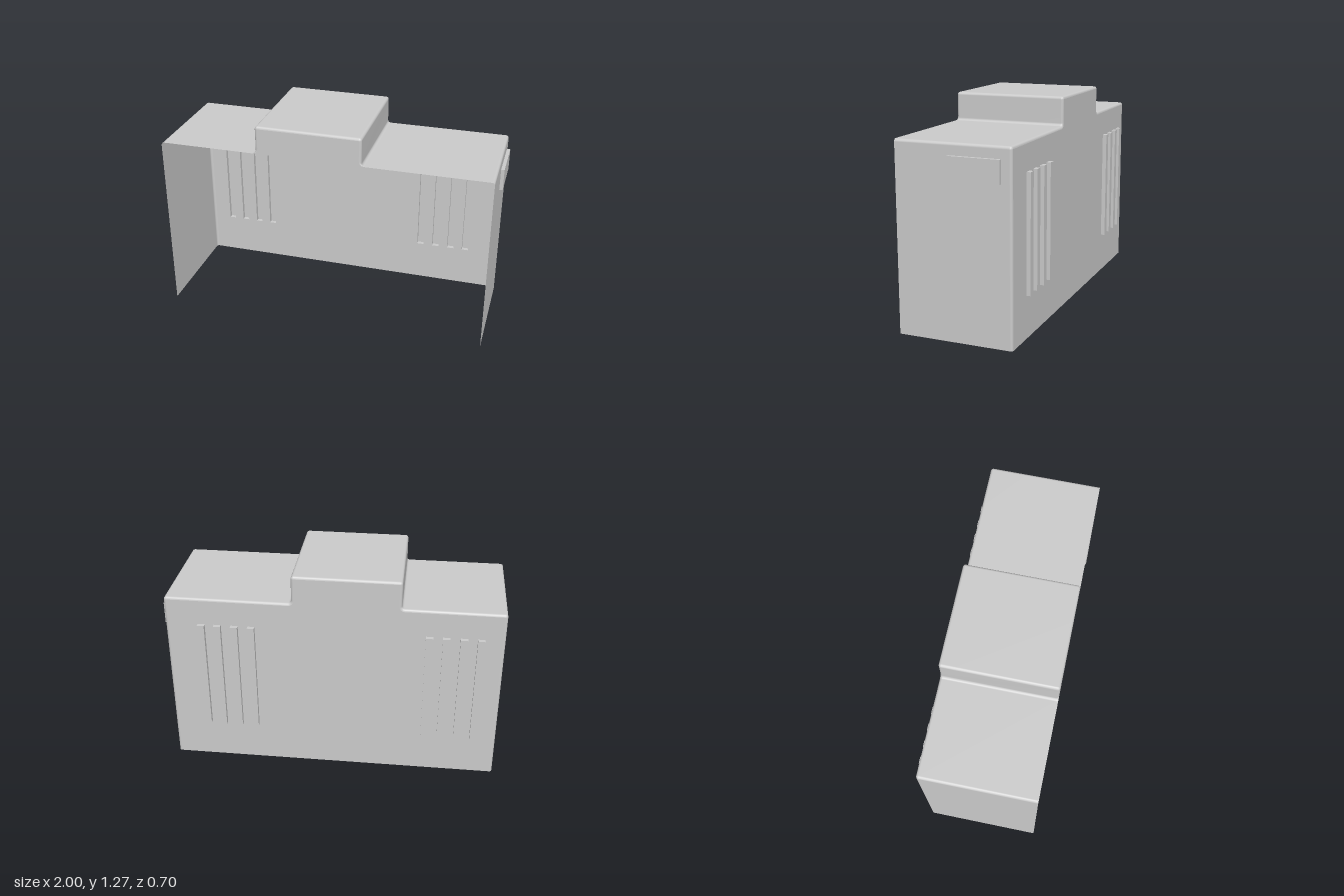
import * as THREE from 'three';

const material = new THREE.MeshStandardMaterial({ color: 0xcccccc, side: THREE.DoubleSide });
const FRONT = 0.35, BACK = -0.33, EDGE = 0.015, ROUND = 0.017, STEPS = 4;

// Corners of the hood outline: x, y, inset direction, turn (1 convex, -1 concave), on raised box
const CORNERS = [
  { x: -1, y: 0, dx: 1, dy: 0, turn: 0 },
  { x: -1, y: 1.1, dx: 1, dy: -1, turn: 1 },
  { x: -0.405, y: 1.1, dx: 1, dy: -1, turn: -1, box: true },
  { x: -0.405, y: 1.27, dx: 1, dy: -1, turn: 1, box: true },
  { x: 0.23, y: 1.27, dx: -1, dy: -1, turn: 1, box: true },
  { x: 0.23, y: 1.1, dx: -1, dy: -1, turn: -1, box: true },
  { x: 0.98, y: 1.1, dx: -1, dy: -1, turn: 1 },
  { x: 0.98, y: 0, dx: -1, dy: 0, turn: 0 },
];

// Rounded outline, inset all round by d, or only on the raised box
function outline(d, boxOnly = false) {
  const pts = CORNERS.map((c) => {
    const k = boxOnly && !c.box ? 0 : d;
    const ky = boxOnly && c.turn < 0 ? 0 : k;
    return new THREE.Vector2(c.x + c.dx * k, c.y + c.dy * ky);
  });
  const result = [];
  pts.forEach((p, i) => {
    const c = CORNERS[i];
    if (!c.turn) return result.push(p);
    const r = ROUND - c.turn * (boxOnly && !c.box ? 0 : d);
    const a = pts[i - 1].clone().sub(p).normalize().multiplyScalar(r).add(p);
    const b = pts[i + 1].clone().sub(p).normalize().multiplyScalar(r).add(p);
    const centre = a.clone().add(b).sub(p);
    for (let s = 0; s <= STEPS; s++) {
      const t = (s / STEPS) * Math.PI / 2;
      result.push(new THREE.Vector2(
        centre.x + (a.x - centre.x) * Math.cos(t) + (b.x - centre.x) * Math.sin(t),
        centre.y + (a.y - centre.y) * Math.cos(t) + (b.y - centre.y) * Math.sin(t)));
    }
  });
  return result;
}

// Skin between outlines placed along z
function loft(rings) {
  const n = rings[0].pts.length, pos = [], index = [];
  rings.forEach(({ pts, z }) => pts.forEach((p, j) => pos.push(p.x, p.y, Array.isArray(z) ? z[j] : z)));
  for (let i = 0; i < rings.length - 1; i++) {
    for (let j = 0; j < n - 1; j++) {
      const a = i * n + j, b = a + 1, c = a + n, d = c + 1;
      index.push(a, b, c, b, d, c);
    }
  }
  const g = new THREE.BufferGeometry();
  g.setAttribute('position', new THREE.Float32BufferAttribute(pos, 3));
  g.setIndex(index);
  g.computeVertexNormals();
  return g;
}

// Box with one face left out (0 +x, 1 -x, 2 +y, 3 -y, 4 +z, 5 -z)
function openBox(w, h, d, face) {
  const g = new THREE.BoxGeometry(w, h, d);
  const idx = Array.from(g.index.array);
  idx.splice(face * 6, 6);
  g.setIndex(idx);
  g.clearGroups();
  return g;
}

export function createModel() {
  const group = new THREE.Group();
  const add = (name, geometry, x = 0, y = 0, z = 0) => {
    const mesh = new THREE.Mesh(geometry, material);
    mesh.name = name;
    mesh.position.set(x, y, z);
    group.add(mesh);
  };

  // Side walls, roof and raised box, with rounded back edges and box front edges
  const rings = [];
  for (let s = 0; s <= STEPS; s++) {
    const t = (s / STEPS) * Math.PI / 2;
    rings.push({ pts: outline(EDGE * (1 - Math.sin(t)), true), z: FRONT - EDGE * (1 - Math.cos(t)) });
  }
  // The plain roof and walls run straight to the front
  for (let s = 0; s <= STEPS; s++) {
    const t = (s / STEPS) * Math.PI / 2;
    rings.push({ pts: outline(EDGE * (1 - Math.cos(t))), z: BACK + EDGE * (1 - Math.sin(t)) });
  }
  add('shell', loft(rings));

  // Front of the raised box; the hood is open below it
  const first = 1 + (STEPS + 1);
  add('raisedBoxFront', new THREE.ShapeGeometry(
    new THREE.Shape(rings[0].pts.slice(first, first + 4 * (STEPS + 1)))), 0, 0, FRONT);

  // Back wall with slots behind the louvres
  const slotX = [-0.865, -0.767, -0.667, -0.569, 0.47, 0.57, 0.67, 0.767];
  const w = 0.042, low = 0.25, high = 0.935, depth = 0.025;
  const wall = new THREE.Shape(outline(EDGE));
  for (const x of slotX) {
    wall.holes.push(new THREE.Path([
      new THREE.Vector2(x - w / 2, low), new THREE.Vector2(x + w / 2, low),
      new THREE.Vector2(x + w / 2, high), new THREE.Vector2(x - w / 2, high),
    ]));
  }
  add('backWall', new THREE.ShapeGeometry(wall), 0, 0, BACK);

  // Raised louvres, hollow from the inside
  for (const x of slotX) {
    add('louvre', openBox(w, high - low, depth, 4), x, (low + high) / 2, BACK - depth / 2);
  }

  // Plate on the left wall
  add('sidePlate', openBox(0.02, 0.13, 0.3, 1), 0.99, 0.967, -0.12);
  return group;
}
